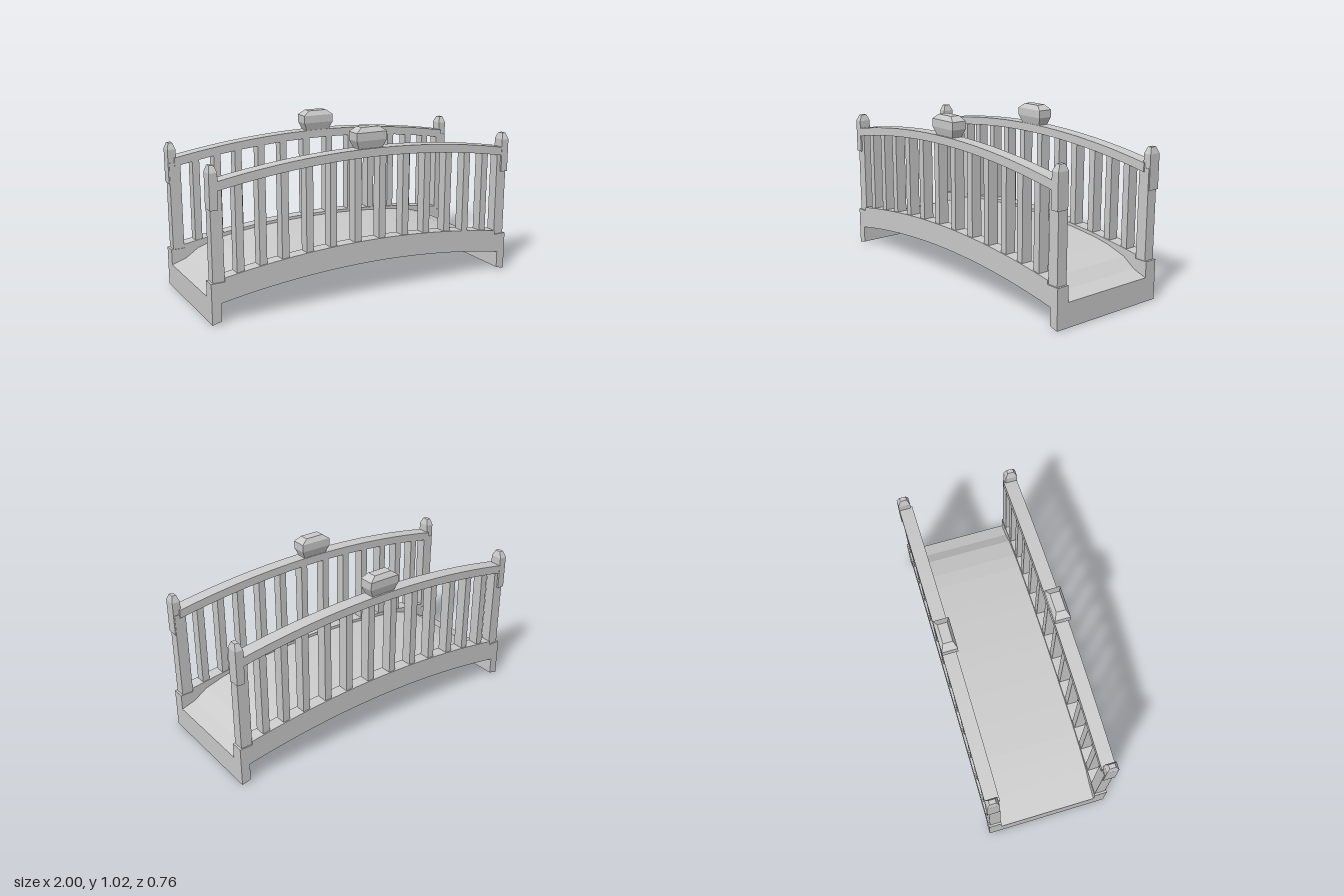
import * as THREE from 'three';

const material = new THREE.MeshStandardMaterial({ color: 0xcccccc, flatShading: true });

function addMesh(parent, name, geometry) {
  const mesh = new THREE.Mesh(geometry, material);
  mesh.name = name;
  parent.add(mesh);
  return mesh;
}

// Points along a shallow arch from x0 to x1: crest height at x = 0, dropping to yEnd at |x| = xEnd
function arch(x0, x1, crest, yEnd, xEnd, steps = 24) {
  return Array.from({ length: steps + 1 }, (_, i) => {
    const x = x0 + (x1 - x0) * i / steps;
    return [x, crest - (crest - yEnd) * (x / xEnd) ** 2];
  });
}

// Side profile in x-y, extruded from z0 to z1
function extrude(points, z0, z1) {
  const shape = new THREE.Shape(points.map(([x, y]) => new THREE.Vector2(x, y)));
  return new THREE.ExtrudeGeometry(shape, { depth: z1 - z0, bevelEnabled: false }).translate(0, 0, z0);
}

function box(x0, x1, y0, y1, z0, z1) {
  return new THREE.BoxGeometry(x1 - x0, y1 - y0, z1 - z0)
    .translate((x0 + x1) / 2, (y0 + y1) / 2, (z0 + z1) / 2);
}

// Stack of rectangles [y, x0, x1, z0, z1] joined into a closed faceted solid
function stack(levels) {
  const pos = [], index = [], last = (levels.length - 1) * 4;
  for (const [y, x0, x1, z0, z1] of levels) pos.push(x0, y, z1, x1, y, z1, x1, y, z0, x0, y, z0);
  for (let l = 0; l < last; l += 4) {
    for (let i = 0; i < 4; i++) {
      const a = l + i, b = l + (i + 1) % 4;
      index.push(a, b, b + 4, a, b + 4, a + 4);
    }
  }
  index.push(0, 2, 1, 0, 3, 2, last, last + 1, last + 2, last, last + 2, last + 3);
  const geometry = new THREE.BufferGeometry();
  geometry.setAttribute('position', new THREE.Float32BufferAttribute(pos, 3));
  geometry.setIndex(index);
  const flat = geometry.toNonIndexed();
  flat.computeVertexNormals();
  return flat;
}

export function createModel() {
  const bridge = new THREE.Group();
  bridge.name = 'archedFootbridge';

  // Shared underside: arched soffit between two end feet
  const underside = [
    [-1, 0], [-0.945, 0.015],
    ...arch(-0.945, 0.945, 0.205, 0.12, 0.945),
    [0.945, 0.015], [1, 0],
  ];

  // Walkway, with a flared ramp at each end
  const ramp = [[1, 0.145], [0.91, 0.175], [0.83, 0.23], [0.7, 0.27]];
  const walkway = [
    ...ramp,
    ...arch(0.6, -0.6, 0.325, 0.288, 0.6, 12),
    ...ramp.map(([x, y]) => [-x, y]).reverse(),
  ];
  addMesh(bridge, 'deck', extrude([...underside, ...walkway], -0.3, 0.3));

  const curbTop = [
    [1, 0.24], [0.92, 0.24],
    ...arch(0.92, -0.92, 0.342, 0.264, 0.92),
    [-0.92, 0.24], [-1, 0.24],
  ];
  const railProfile = [
    ...arch(-0.955, 0.955, 0.842, 0.755, 0.945),
    ...arch(0.955, -0.955, 0.892, 0.807, 0.945),
  ];

  for (const side of [1, -1]) {
    const railing = new THREE.Group();
    railing.name = side > 0 ? 'frontRailing' : 'backRailing';
    bridge.add(railing);
    // z span given outward from the centre line
    const span = (a, b) => side > 0 ? [a, b] : [-b, -a];

    addMesh(railing, 'curb', extrude([...underside, ...curbTop], ...span(0.3, 0.378)));
    addMesh(railing, 'handrail', extrude(railProfile, ...span(0.297, 0.38)));

    // Balusters between curb and handrail
    for (const x of [0.082, 0.243, 0.395, 0.548, 0.685, 0.822]) {
      const top = 0.86 - 0.087 * (x / 0.945) ** 2;
      const foot = 0.325 - 0.08 * (x / 0.92) ** 2;
      for (const s of [1, -1]) {
        addMesh(railing, 'baluster', box(s * x - 0.022, s * x + 0.022, foot, top, ...span(0.304, 0.37)));
      }
    }

    // End posts with a pointed upper block
    for (const s of [1, -1]) {
      const xs = (a, b) => s > 0 ? [a, b] : [-b, -a];
      addMesh(railing, 'endPost', box(...xs(0.918, 0.987), 0.23, 0.775, ...span(0.304, 0.37)));
      addMesh(railing, 'postHead', stack([
        [0.65, ...xs(0.945, 0.992), ...span(0.308, 0.381)],
        [0.855, ...xs(0.943, 0.992), ...span(0.308, 0.381)],
        [0.893, ...xs(0.956, 0.981), ...span(0.324, 0.362)],
      ]));
    }

    // Centre ornament on the handrail
    addMesh(railing, 'centreCap', stack([
      [0.875, -0.077, 0.077, ...span(0.304, 0.366)],
      [0.895, -0.08, 0.08, ...span(0.3, 0.37)],
      [0.94, -0.1, 0.1, ...span(0.287, 0.382)],
      [0.987, -0.1, 0.1, ...span(0.287, 0.382)],
      [1.016, -0.06, 0.06, ...span(0.305, 0.363)],
    ]));
  }
  return bridge;
}
